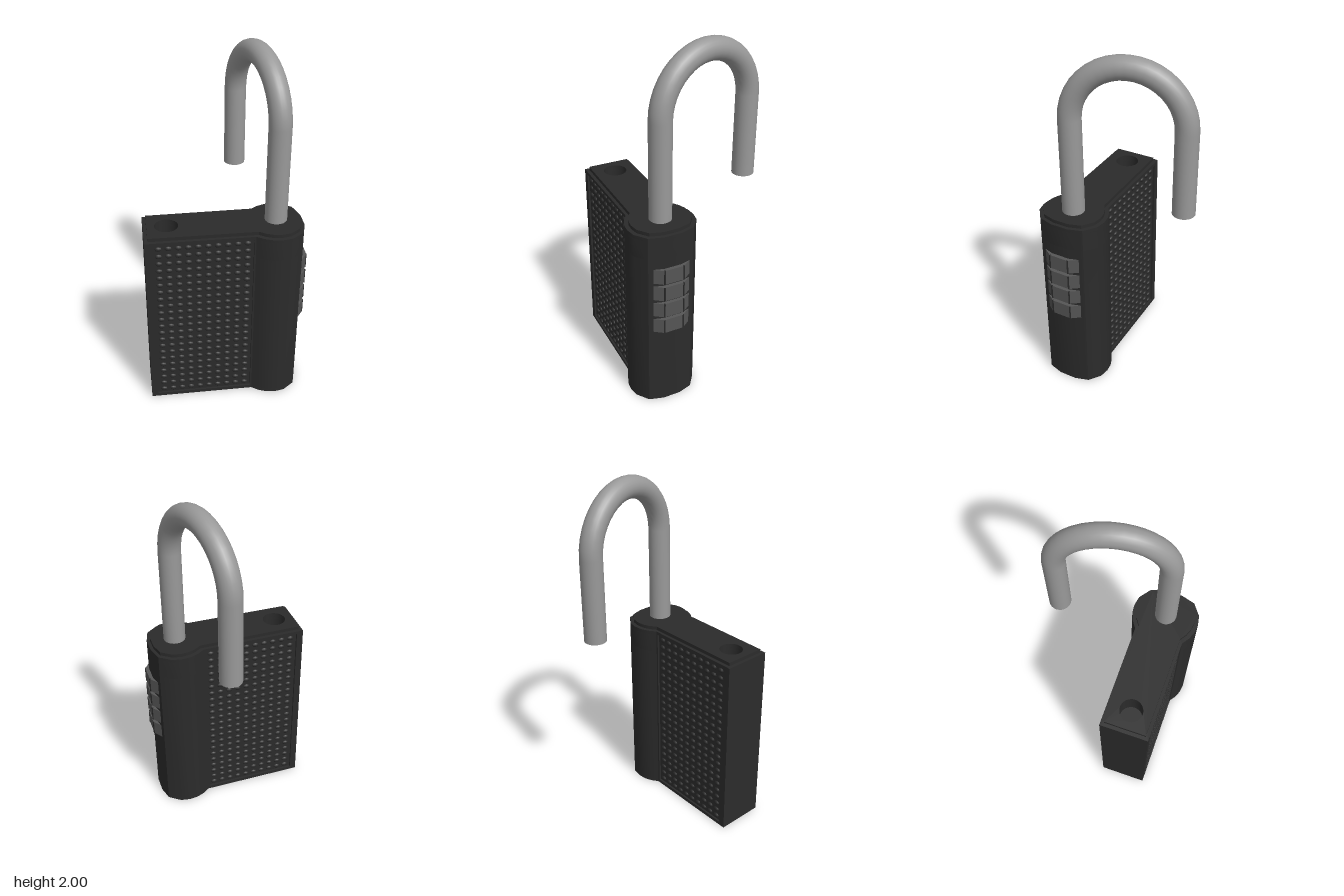
import * as THREE from 'three';
import { mergeGeometries, toCreasedNormals } from 'three/addons/utils/BufferGeometryUtils.js';

const LOBE = [[-0.13, 0.139], [-0.09, 0.167], [-0.045, 0.185], [0.005, 0.19], [0.06, 0.18], [0.127, 0.13], [0.15, 0.05]];
const RECESS = [[-0.69, 0.139], [-0.69, 0.127], [-0.14, 0.127], [-0.14, 0.139]];

// Mirrors half a plan outline about its long axis
function planShape(half, hole) {
  const pts = [...half, ...half.map(([x, y]) => [x, -y]).reverse()];
  const shape = new THREE.Shape(pts.map(([x, y]) => new THREE.Vector2(x, y)));
  if (hole) shape.holes.push(new THREE.Path().absarc(-0.6, 0, 0.065, 0, Math.PI * 2));
  return shape;
}

// Raises a plan outline from y0 to y1
function slab(half, y0, y1, hole = false) {
  const g = new THREE.ExtrudeGeometry(planShape(half, hole), { depth: y1 - y0, bevelEnabled: false, curveSegments: 16 });
  g.rotateX(-Math.PI / 2).translate(0, y0, 0);
  return toCreasedNormals(g, 0.6);
}

export function createModel() {
  const root = new THREE.Group();
  root.name = 'padlock';
  const black = new THREE.MeshStandardMaterial({ color: 0x2b2b2b });
  const dialGrey = new THREE.MeshStandardMaterial({ color: 0x555555 });
  const steel = new THREE.MeshStandardMaterial({ color: 0x999999 });
  const add = (parent, name, geometry, material) => {
    const mesh = new THREE.Mesh(geometry, material);
    mesh.name = name;
    parent.add(mesh);
    return mesh;
  };

  // The case pivots about the fixed shackle leg
  const lock = new THREE.Group();
  lock.name = 'case';
  lock.position.set(0.28, 0, 0.235);
  lock.rotation.y = -THREE.MathUtils.degToRad(14);
  root.add(lock);

  const full = [[-0.727, 0.139], ...LOBE];
  const recessed = [[-0.727, 0.139], ...RECESS, ...LOBE];
  const lid = [[-0.707, 0.119], ...LOBE.map(([x, y]) => [x * 0.88, y * 0.88])];
  add(lock, 'baseRim', slab(full, 0, 0.02), black);
  add(lock, 'body', slab(recessed, 0.02, 0.95), black);
  add(lock, 'bodyAroundSocket', slab(recessed, 0.95, 1.062, true), black);
  add(lock, 'topRim', slab(full, 1.062, 1.08, true), black);
  add(lock, 'topPlate', slab(lid, 1.08, 1.1, true), black);

  // Grip bumps on both recessed panels
  const bumps = [];
  for (const side of [1, -1]) {
    for (let c = 0; c < 10; c++) {
      for (let r = 0; r < 22; r++) {
        const g = new THREE.SphereGeometry(1, 8, 3, 0, Math.PI * 2, 0, Math.PI / 2);
        g.rotateX(side * Math.PI / 2).scale(0.02, 0.014, 0.011);
        bumps.push(g.translate(-0.653 + c * 0.0533, 0.045 + r * 0.0472, side * 0.127));
      }
    }
  }
  add(lock, 'gripBumps', mergeGeometries(bumps), black);

  // Ten-sided number wheels with thin ribs between their faces
  for (let i = 0; i < 4; i++) {
    const y = 0.53 + i * 0.1055;
    const wheel = new THREE.CylinderGeometry(0.179, 0.179, 0.086, 10).toNonIndexed();
    wheel.rotateY(Math.PI / 10 + Math.PI / 2);
    wheel.computeVertexNormals();
    const dial = add(lock, 'dial' + (i + 1), wheel, dialGrey);
    dial.position.y = y;
    for (const a of [-18, 18]) {
      const rib = add(dial, 'dialRib', new THREE.BoxGeometry(0.008, 0.086, 0.008), black);
      const t = THREE.MathUtils.degToRad(a);
      rib.position.set(0.177 * Math.cos(t), 0, 0.177 * Math.sin(t));
      rib.rotation.y = -t;
    }
  }

  // Open shackle: long leg, bend and free leg
  const shackle = new THREE.Group();
  shackle.name = 'shackle';
  shackle.position.set(0.28, 0, -0.0625);
  root.add(shackle);
  const R = 0.2975, r = 0.0615, bendY = 1.641;
  const leg = (name, z, y0) => {
    const m = add(shackle, name, new THREE.CylinderGeometry(r, r, bendY - y0, 24), steel);
    m.position.set(0, (bendY + y0) / 2, z);
  };
  leg('fixedLeg', R, 1.0);
  leg('freeLeg', -R, 1.175);
  const bend = add(shackle, 'bend', new THREE.TorusGeometry(R, r, 24, 20, Math.PI), steel);
  bend.position.y = bendY;
  bend.rotation.y = Math.PI / 2;

  return root;
}
